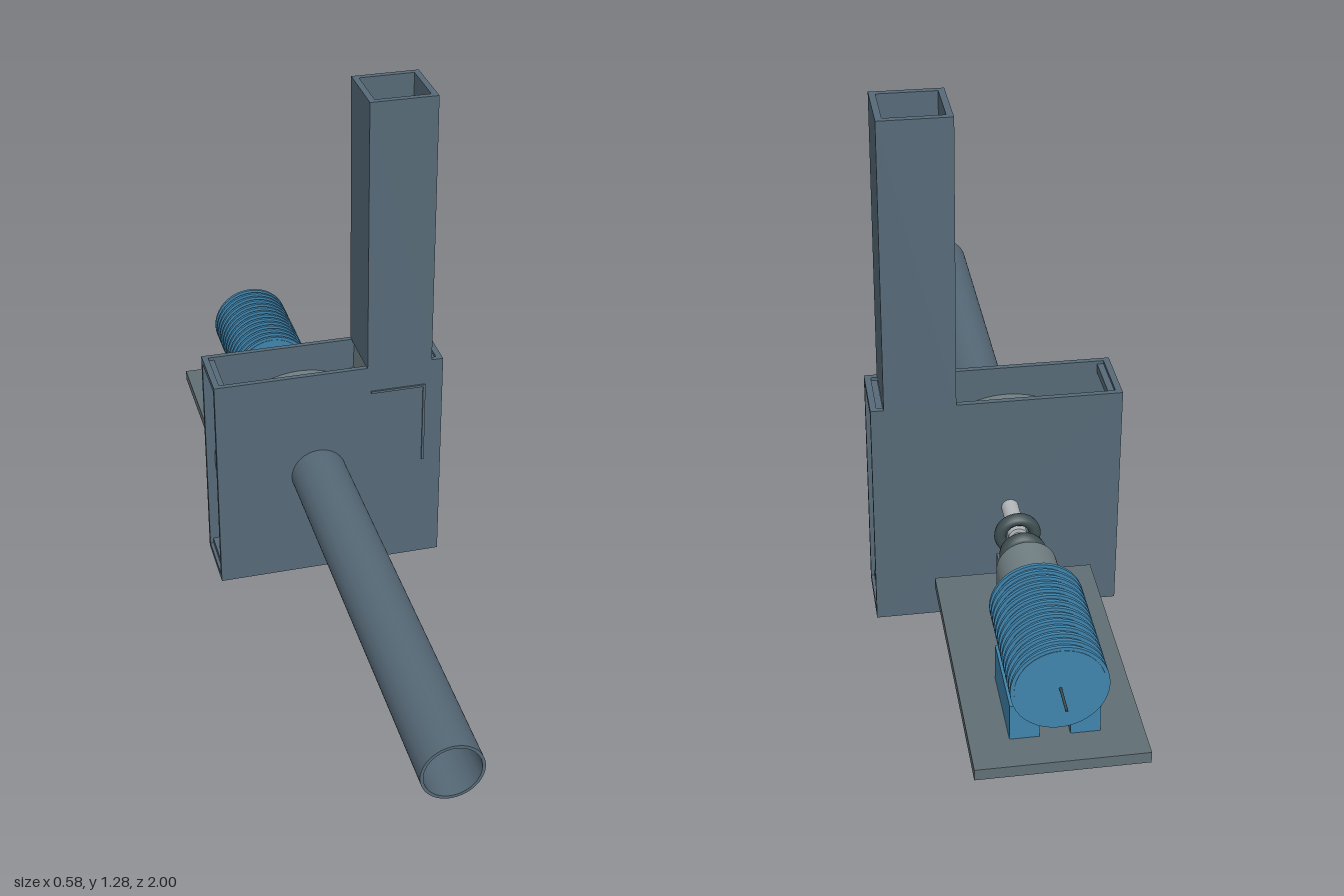
import * as THREE from 'three';

const mat = (color) => new THREE.MeshStandardMaterial({ color, side: THREE.DoubleSide });
const CX = -0.03, CY = 0.29; // shaft axis

export function createModel() {
  const root = new THREE.Group();
  const slate = mat(0x566977), blue = mat(0x3f83ab), grey = mat(0x717f83);
  const light = mat(0xb4b9bc), baseGrey = mat(0x606f75), dark = mat(0x3d4d50);

  const add = (name, geo, m, x = 0, y = 0, z = 0) => {
    const mesh = new THREE.Mesh(geo, m);
    mesh.name = name;
    mesh.position.set(x, y, z);
    root.add(mesh);
    return mesh;
  };
  const box = (name, m, x0, x1, y0, y1, z0, z1) =>
    add(name, new THREE.BoxGeometry(x1 - x0, y1 - y0, z1 - z0), m, (x0 + x1) / 2, (y0 + y1) / 2, (z0 + z1) / 2);
  // cylinder along z, centred on the shaft axis unless told otherwise
  const rod = (name, m, r, z0, z1, x = CX, y = CY, seg = 40) =>
    add(name, new THREE.CylinderGeometry(r, r, z1 - z0, seg).rotateX(Math.PI / 2), m, x, y, (z0 + z1) / 2);
  const rect = (x0, x1, y0, y1, C = THREE.Shape) =>
    new C([[x0, y0], [x1, y0], [x1, y1], [x0, y1]].map((p) => new THREE.Vector2(...p)));
  const extrude = (shape, depth) =>
    new THREE.ExtrudeGeometry(shape, { depth, bevelEnabled: false, curveSegments: 32 });

  // Casing: two side plates, the front one with the inlet opening
  const front = rect(-0.29, 0.29, 0, 0.58);
  front.holes.push(new THREE.Path().absarc(CX, CY, 0.057, 0, Math.PI * 2, true));
  add('frontCasingPlate', extrude(front, 0.013), slate, 0, 0, -0.128);
  box('backCasingPlate', slate, -0.29, 0.29, 0, 0.58, -0.277, -0.264);

  // Stepped corner bars that tie the plates together
  for (const sx of [-1, 1]) {
    for (const sy of [-1, 1]) {
      const bar = (lo, hi, wLo, wHi) => {
        const xs = [sx * lo, sx * hi].sort((a, b) => a - b);
        const ys = [CY + sy * wLo, CY + sy * wHi].sort((a, b) => a - b);
        box('cornerBar', slate, xs[0], xs[1], ys[0], ys[1], -0.266, -0.126);
      };
      bar(0.275, 0.29, 0.275, 0.29);
      bar(0.26, 0.282, 0.26, 0.282);
    }
  }

  // Spiral scroll wall between the plates
  const outer = [], inner = [];
  const put = (x, y, nx, ny) => {
    outer.push(new THREE.Vector2(x, y));
    inner.push(new THREE.Vector2(x - nx * 0.01, y - ny * 0.01));
  };
  put(0.25, 0.585, 1, 0);
  const turn = Math.PI * 1.63, steps = 60;
  for (let i = 0; i <= steps; i++) {
    const t = -turn * i / steps, r = 0.28 - 0.068 * i / steps;
    put(CX + r * Math.cos(t), CY + r * Math.sin(t), Math.cos(t), Math.sin(t));
  }
  put(0.1, 0.5, -0.6, 0.8);
  put(0.1, 0.585, -1, 0);
  add('scrollWall', extrude(new THREE.Shape([...outer, ...inner.reverse()]), 0.14), grey, 0, 0, -0.266);

  // Seam strips on the front plate
  box('seamStrip', slate, 0.105, 0.245, 0.507, 0.513, -0.117, -0.111);
  box('seamStrip', slate, 0.239, 0.245, 0.29, 0.513, -0.117, -0.111);

  // Open outlet duct
  const duct = rect(0.095, 0.26, 0.113, 0.278);
  duct.holes.push(rect(0.11, 0.245, 0.128, 0.263, THREE.Path));
  add('outletDuct', extrude(duct, 0.705).rotateX(-Math.PI / 2), slate, 0, 0.577, 0);

  // Inlet pipe
  const pipe = new THREE.Shape().absarc(CX, CY, 0.07, 0, Math.PI * 2);
  pipe.holes.push(new THREE.Path().absarc(CX, CY, 0.063, 0, Math.PI * 2, true));
  add('inletPipe', extrude(pipe, 1.117), slate, 0, 0, -0.117);

  // Impeller: back disc, blades, hub and bolts
  rod('impellerDisc', light, 0.19, -0.25, -0.242);
  rod('impellerHub', grey, 0.02, -0.242, -0.225);
  rod('hubCap', light, 0.01, -0.225, -0.215);
  for (let i = 0; i < 12; i++) {
    const a = i * Math.PI / 6;
    const blade = add('impellerBlade', new THREE.BoxGeometry(0.11, 0.005, 0.09), light,
      CX + 0.13 * Math.cos(a), CY + 0.13 * Math.sin(a), -0.197);
    blade.rotation.z = a + 0.35;
  }
  for (let i = 0; i < 6; i++) {
    const a = Math.PI / 6 + i * Math.PI / 3;
    rod('impellerBolt', dark, 0.005, -0.242, -0.237, CX + 0.045 * Math.cos(a), CY + 0.045 * Math.sin(a), 8);
  }

  // Drive shaft
  rod('driveShaft', light, 0.013, -0.65, -0.24);
  rod('shaftCollar', light, 0.02, -0.35, -0.27);

  // Base plate
  box('basePlate', baseGrey, -0.22, 0.153, 0.1, 0.127, -0.967, -0.31);

  // Two bearings on pedestals
  for (const z of [-0.387, -0.463]) {
    box('bearingPedestal', baseGrey, CX - 0.045, CX + 0.045, 0.127, 0.225, z - 0.021, z + 0.021);
    box('bearingSaddle', baseGrey, CX - 0.035, CX + 0.035, 0.225, 0.258, z - 0.015, z + 0.015);
    const ring = add('bearingRing', new THREE.TorusGeometry(0.04, 0.014, 12, 40), dark, CX, CY, z);
    ring.scale.z = 1.1;
    rod('bearingCore', light, 0.022, z - 0.012, z + 0.012);
  }

  // Round-topped coupling housing
  const housing = new THREE.Shape().moveTo(CX - 0.068, 0.127).lineTo(CX + 0.068, 0.127)
    .lineTo(CX + 0.068, CY).absarc(CX, CY, 0.068, 0, Math.PI, false);
  add('couplingHousing', extrude(housing, 0.108), grey, 0, 0, -0.622);

  // Finned motor on two feet
  rod('motorBody', blue, 0.096, -0.93, -0.64);
  for (let i = 0; i < 14; i++) {
    const z = -0.925 + i * 0.0215;
    rod('motorFin', blue, 0.104, z - 0.004, z + 0.004);
  }
  rod('motorTailShaft', dark, 0.003, -1, -0.93, CX, CY, 10);
  for (const s of [-1, 1]) {
    const x = CX + s * 0.065;
    box('motorFoot', blue, x - 0.032, x + 0.032, 0.127, 0.215, -0.885, -0.685);
  }
  return root;
}
